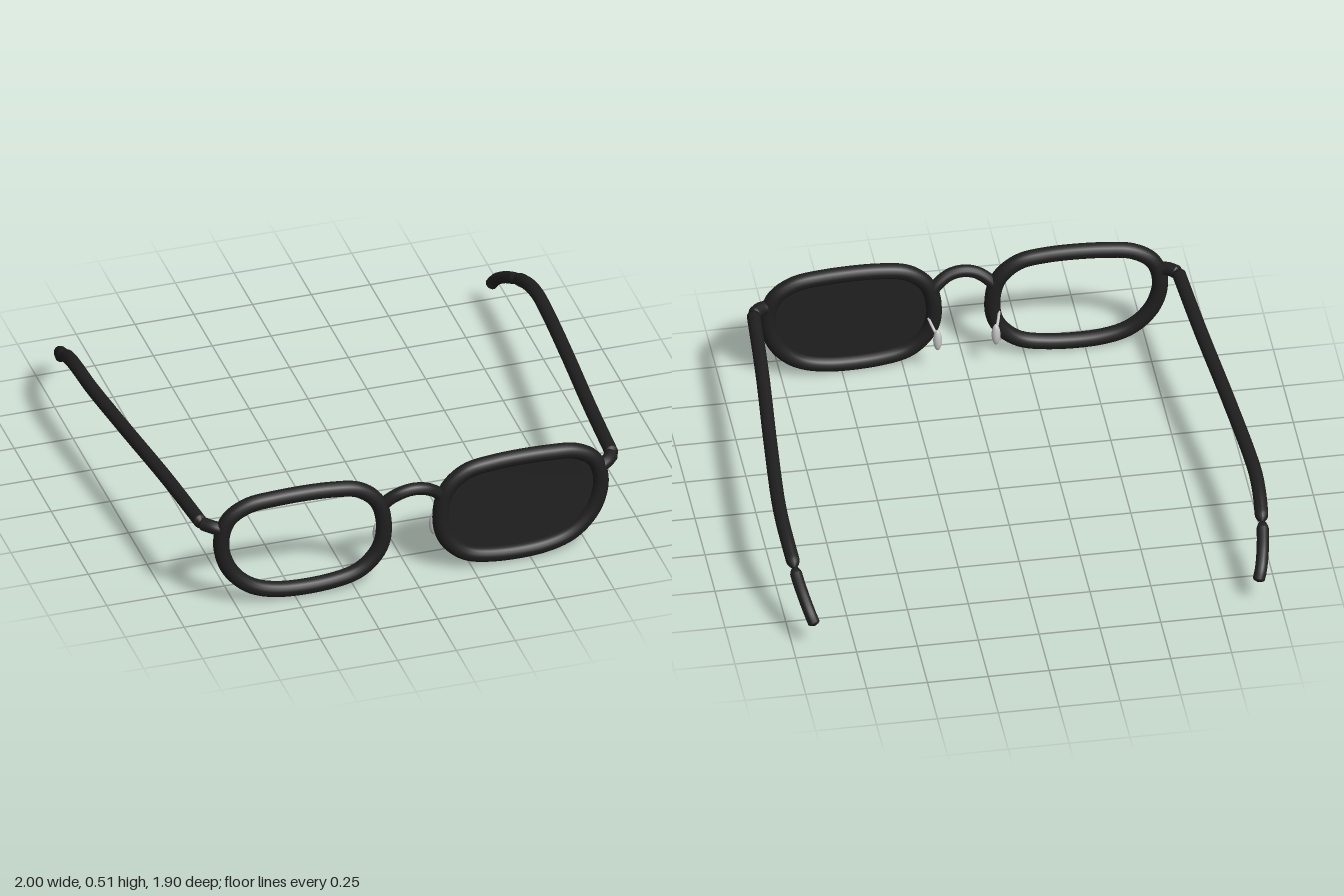
import * as THREE from 'three';

const V = (x, y, z) => new THREE.Vector3(x, y, z);

export function createModel() {
  const model = new THREE.Group();
  const mat = (name, color) => new THREE.MeshStandardMaterial({ name, color });
  const frame = mat('black frame', 0x1f1f1f);
  const tint = mat('dark lens', 0x212121);
  tint.side = THREE.DoubleSide;
  const silver = mat('silver', 0xc4c4c4);

  const add = (name, geometry, material) => {
    const mesh = new THREE.Mesh(geometry, material);
    mesh.name = name;
    model.add(mesh);
    return mesh;
  };

  // Tube whose rings shrink at both ends: cap = [length, end scale]
  const rod = (points, r, startCap, endCap, segs = 60, sides = 14) => {
    const curve = new THREE.CatmullRomCurve3(points, false, 'centripetal');
    const g = new THREE.TubeGeometry(curve, segs, r, sides, false);
    const len = curve.getLength();
    const p = g.attributes.position;
    const v = V(0, 0, 0);
    const scaleAt = (d, [capLen, tip]) => (d >= capLen ? 1 : tip + (1 - tip) * Math.sqrt(d / capLen));
    for (let i = 0; i <= segs; i++) {
      const u = i / segs;
      const c = curve.getPointAt(u);
      const s = Math.min(scaleAt(u * len, startCap), scaleAt((1 - u) * len, endCap));
      for (let j = 0; j <= sides; j++) {
        const k = i * (sides + 1) + j;
        v.fromBufferAttribute(p, k).sub(c).multiplyScalar(s).add(c);
        p.setXYZ(k, v.x, v.y, v.z);
      }
    }
    g.computeVertexNormals();
    return g;
  };

  // Rim outline on the +x side; the fronts bow back slightly outward
  const outline = [[0.807, 0.3], [0.778, 0.405], [0.7, 0.46], [0.58, 0.478], [0.34, 0.478],
    [0.225, 0.455], [0.145, 0.38], [0.12, 0.25], [0.143, 0.155], [0.22, 0.075],
    [0.34, 0.042], [0.57, 0.042], [0.69, 0.083], [0.775, 0.175]];
  const bowZ = (x) => 0.903 - 0.016 * Math.max(0, (Math.abs(x) - 0.3) / 0.5) ** 2;
  const rimCurve = (s) => new THREE.CatmullRomCurve3(
    outline.map(([x, y]) => V(s * x, y, bowZ(x))), true, 'centripetal');

  for (const [s, side] of [[1, 'left'], [-1, 'right']]) {
    add(side + 'Rim', new THREE.TubeGeometry(rimCurve(s), 96, 0.033, 16, true), frame);

    // Hinge block between rim and temple
    add(side + 'Hinge', rod([V(s * 0.795, 0.362, 0.89), V(s * 0.835, 0.372, 0.872),
      V(s * 0.877, 0.376, 0.828)], 0.028, [0.005, 0], [0.012, 0], 30), frame);

    // Temple arm, pinched to a thin neck at the back
    add(side + 'Temple', rod([V(s * 0.873, 0.376, 0.835), V(s * 0.9, 0.364, 0.45),
      V(s * 0.94, 0.345, 0), V(s * 0.968, 0.328, -0.36), V(s * 0.973, 0.322, -0.5),
      V(s * 0.97, 0.302, -0.61), V(s * 0.962, 0.265, -0.715), V(s * 0.961, 0.258, -0.735)],
    0.028, [0.008, 0], [0.032, 0.2], 120), frame);

    // Curved ear tip
    add(side + 'EarTip', rod([V(s * 0.961, 0.258, -0.73), V(s * 0.957, 0.237, -0.77),
      V(s * 0.943, 0.195, -0.85), V(s * 0.926, 0.15, -0.91), V(s * 0.91, 0.108, -0.937)],
    0.025, [0.03, 0.2], [0.012, 0], 60), frame);

    // Nose pad on its wire
    const wire = new THREE.CatmullRomCurve3([V(s * 0.145, 0.23, 0.885),
      V(s * 0.136, 0.215, 0.85), V(s * 0.12, 0.19, 0.81)]);
    add(side + 'PadWire', new THREE.TubeGeometry(wire, 10, 0.006, 8), silver);
    const pad = add(side + 'NosePad', new THREE.SphereGeometry(1, 20, 14), silver);
    pad.scale.set(0.018, 0.05, 0.018);
    pad.position.set(s * 0.12, 0.172, 0.81);
  }

  // Bridge arch
  add('bridge', rod([V(-0.135, 0.345, 0.897), V(-0.105, 0.382, 0.905), V(-0.055, 0.415, 0.917),
    V(0, 0.426, 0.92), V(0.055, 0.415, 0.917), V(0.105, 0.382, 0.905), V(0.135, 0.345, 0.897)],
  0.026, [0.005, 0], [0.005, 0], 50), frame);

  // Single dark lens filling the left rim
  const lens = new THREE.ShapeGeometry(new THREE.Shape(
    rimCurve(1).getSpacedPoints(80).slice(0, 80).map((p) => new THREE.Vector2(p.x, p.y))));
  const lp = lens.attributes.position;
  for (let i = 0; i < lp.count; i++) lp.setZ(i, bowZ(lp.getX(i)));
  lens.computeVertexNormals();
  add('leftLens', lens, tint);

  return model;
}
